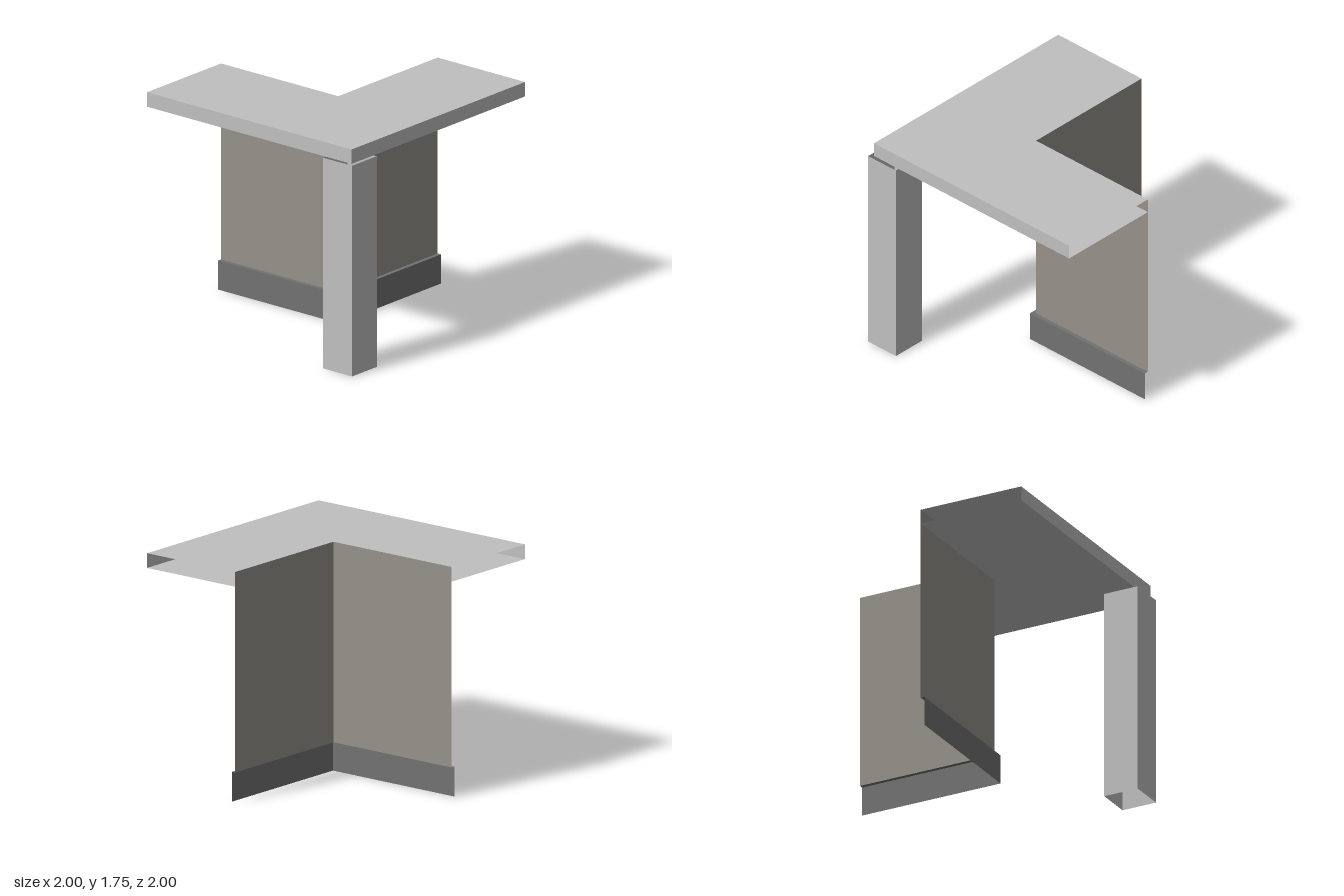
import * as THREE from 'three';

const flat = (name, color) => {
  const m = new THREE.MeshStandardMaterial({ color, side: THREE.DoubleSide });
  m.name = name;
  return m;
};

// Upright sheet standing on a plan path of [x, z] points
function uprightSheet(path, y0, y1) {
  const pos = [];
  for (let i = 0; i < path.length - 1; i++) {
    const [ax, az] = path[i], [bx, bz] = path[i + 1];
    pos.push(ax, y0, az, bx, y0, bz, bx, y1, bz);
    pos.push(ax, y0, az, bx, y1, bz, ax, y1, az);
  }
  const g = new THREE.BufferGeometry();
  g.setAttribute('position', new THREE.Float32BufferAttribute(pos, 3));
  g.computeVertexNormals();
  return g;
}

// Path along both arms of the L, at a given distance from the centre
const armPath = d => [[-d, -1], [-d, d], [1, d]];

// Level L-shaped sheet between an outer and an inner arm path
function levelSheet(outer, inner, y) {
  const outline = [...armPath(outer), ...armPath(inner).reverse()];
  const shape = new THREE.Shape(outline.map(([x, z]) => new THREE.Vector2(x, -z)));
  return new THREE.ShapeGeometry(shape).rotateX(-Math.PI / 2).translate(0, y, 0);
}

export function createModel() {
  const lightGrey = flat('light grey', 0xc0c0c0);
  const wallTaupe = flat('wall taupe', 0x96928a);
  const darkGrey = flat('dark grey', 0x727272);

  const ROOF = 0.97, WALL = 0.128, BASE = 0.16;
  const TOP = 1.75, SOFFIT = 1.638, PLINTH = 0.227;

  const model = new THREE.Group();
  model.name = 'cornerPorch';
  const add = (parent, name, geometry, material) => {
    const mesh = new THREE.Mesh(geometry, material);
    mesh.name = name;
    parent.add(mesh);
  };
  const group = name => {
    const g = new THREE.Group();
    g.name = name;
    model.add(g);
    return g;
  };

  // Hollow roof, open at the two arm ends
  const roof = group('roof');
  add(roof, 'roofTop', levelSheet(ROOF, WALL, TOP), lightGrey);
  add(roof, 'roofUnderside', levelSheet(ROOF, WALL, SOFFIT), lightGrey);
  add(roof, 'roofFascia', uprightSheet(armPath(ROOF), SOFFIT, TOP), lightGrey);

  // Thin corner wall
  add(model, 'wall', uprightSheet(armPath(WALL), PLINTH, TOP), wallTaupe);

  // Plinth face with a narrow ledge back to the wall
  const plinth = group('plinth');
  add(plinth, 'plinthFace', uprightSheet(armPath(BASE), 0, PLINTH), darkGrey);
  add(plinth, 'plinthLedge', levelSheet(BASE, WALL, PLINTH), darkGrey);

  // Square corner post, open at top and bottom
  const a = -1, b = -0.72;
  const postPath = [[a, 1], [b, 1], [b, 0.72], [a, 0.72], [a, 1]];
  add(model, 'cornerPost', uprightSheet(postPath, 0, SOFFIT), lightGrey);

  return model;
}
